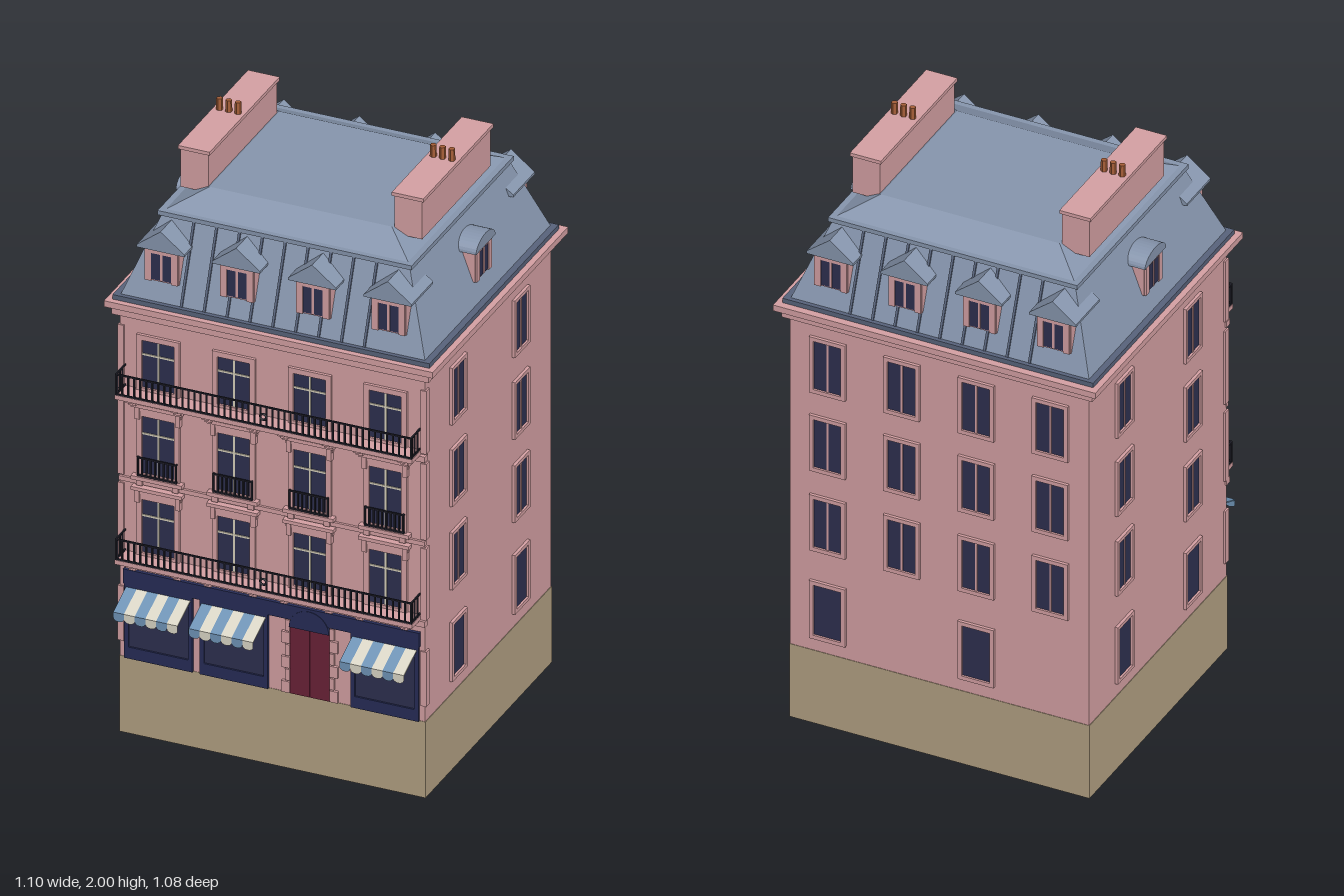
import * as THREE from 'three';
import { mergeGeometries } from 'three/addons/utils/BufferGeometryUtils.js';

const mat = (color, extra = {}) => new THREE.MeshStandardMaterial({ color, ...extra });
const PINK = mat(0xd6a1a4), SAND = mat(0xb3a183), SLATE = mat(0x8796ae, { flatShading: true });
const SEAM = mat(0x59647c), GLASS = mat(0x2e3050), NAVY = mat(0x272d58), CRIMSON = mat(0x6b2238);
const IRON = mat(0x1e1e28), CREAM = mat(0xd9d2bd), POT = mat(0xa65f38, { flatShading: true });
const BLUE_CLOTH = mat(0x7095b8, { side: THREE.DoubleSide });
const CREAM_CLOTH = mat(0xdcd8c8, { side: THREE.DoubleSide });

const FRONT = 0.435, CZ = -0.0325, HALF_X = 0.51, HALF_Z = 0.4675;
const COLUMNS = [-0.38, -0.127, 0.127, 0.38];

function add(parent, name, geometry, material) {
  const mesh = new THREE.Mesh(geometry, material);
  mesh.name = name;
  parent.add(mesh);
  return mesh;
}
function group(parent, name, x = 0, y = 0, z = 0, turn = 0) {
  const g = new THREE.Group();
  g.name = name;
  g.position.set(x, y, z);
  g.rotation.y = turn;
  parent.add(g);
  return g;
}
// One mesh from boxes given as [x0, x1, y0, y1, z0, z1]
function boxes(parent, name, material, list) {
  return add(parent, name, mergeGeometries(list.map(([a, b, c, d, e, f]) =>
    new THREE.BoxGeometry(b - a, d - c, f - e).translate((a + b) / 2, (c + d) / 2, (e + f) / 2))), material);
}
// Rectangular loft through rings [y, halfX, halfZ], closed at the top
function loft(rings) {
  const corner = ([y, x, z], i) => [[x, y, z], [x, y, -z], [-x, y, -z], [-x, y, z]][i % 4];
  const p = [];
  const quad = (a, b, c, d) => p.push(...a, ...b, ...c, ...a, ...c, ...d);
  for (let r = 0; r < rings.length - 1; r++)
    for (let i = 0; i < 4; i++)
      quad(corner(rings[r], i), corner(rings[r], i + 1), corner(rings[r + 1], i + 1), corner(rings[r + 1], i));
  const top = rings[rings.length - 1];
  quad(corner(top, 0), corner(top, 1), corner(top, 2), corner(top, 3));
  const g = new THREE.BufferGeometry();
  g.setAttribute('position', new THREE.Float32BufferAttribute(p, 3));
  g.computeVertexNormals();
  return g;
}

// Window on a wall whose plane is local z = 0
function windowUnit(wall, x, y0, y1, w, frame, { bars = true, transom = false } = {}) {
  const g = group(wall, 'window', x), h = w / 2, o = h + frame;
  boxes(g, 'windowGlass', GLASS, [[-h, h, y0, y1, -0.01, 0.003]]);
  boxes(g, 'windowFrame', PINK, [
    [-o, -h, y0 - frame, y1 + frame, -0.01, 0.01], [h, o, y0 - frame, y1 + frame, -0.01, 0.01],
    [-h, h, y1, y1 + frame, -0.01, 0.01], [-h, h, y0 - frame, y0, -0.01, 0.01]]);
  if (bars) {
    const list = [[-0.003, 0.003, y0, y1, 0, 0.006]];
    const t = y0 + (y1 - y0) * 0.68;
    if (transom) list.push([-h, h, t, t + 0.006, 0, 0.006]);
    boxes(g, 'glazingBars', transom ? CREAM : PINK, list);
  }
  return g;
}

// Iron railing around three sides of a balcony
function railing(parent, half, y0, y1, depth, step) {
  const t = 0.0025, list = [];
  for (const y of [y0 + 0.006, y1]) {
    list.push([-half, half, y - 0.005, y, depth - 2 * t, depth]);
    for (const s of [-half, half]) list.push([s - t, s + t, y - 0.005, y, 0, depth]);
  }
  const n = Math.round(2 * half / step);
  for (let i = 0; i <= n; i++) {
    const x = -half + 2 * half * i / n;
    list.push([x - t, x + t, y0, y1, depth - 2 * t, depth]);
  }
  for (const s of [-half, half])
    for (let z = step; z < depth - 0.01; z += step) list.push([s - t, s + t, y0, y1, z - t, z + t]);
  boxes(parent, 'railing', IRON, list);
}

function longBalcony(wall, y) {
  const g = group(wall, 'longBalcony');
  boxes(g, 'balconySlab', PINK, [[-0.497, 0.497, y - 0.015, y, 0, 0.07], [-0.515, 0.515, y - 0.035, y - 0.015, -0.01, 0.014]]);
  boxes(g, 'balconyBrackets', PINK, COLUMNS.flatMap(x => [-0.075, 0.075].flatMap(d => [
    [x + d - 0.012, x + d + 0.012, y - 0.028, y - 0.015, 0, 0.055],
    [x + d - 0.012, x + d + 0.012, y - 0.045, y - 0.028, 0, 0.035]])));
  railing(g, 0.493, y, y + 0.075, 0.07, 0.02);
  add(g, 'railingRosette', new THREE.TorusGeometry(0.01, 0.004, 6, 16).translate(0, y + 0.037, 0.07), IRON);
}

function awning(wall, x0) {
  const g = group(wall, 'awning', x0), w = 0.215 / 6;
  const slope = Math.hypot(0.095, 0.04);
  for (let i = 0; i < 6; i++) {
    const m = i % 2 ? CREAM_CLOTH : BLUE_CLOTH, cx = (i + 0.5) * w;
    const cloth = add(g, 'awningStripe', new THREE.BoxGeometry(w, 0.004, slope), m);
    cloth.position.set(cx, 0.492, 0.0575);
    cloth.rotation.x = Math.atan2(0.04, 0.095);
    const s = new THREE.Shape();
    s.moveTo(w / 2, 0.472);
    s.lineTo(-w / 2, 0.472);
    s.lineTo(-w / 2, 0.455);
    s.absellipse(0, 0.455, w / 2, 0.012, Math.PI, 2 * Math.PI, false);
    add(g, 'awningValance', new THREE.ShapeGeometry(s, 6).translate(cx, 0, 0.105), m);
  }
}

// Dormer facing local +z with its front at z = 0
function dormer(parent, name, x, z, turn, arched) {
  const g = group(parent, name, x, 0, z, turn);
  boxes(g, 'dormerBody', PINK, [[-0.0575, 0.0575, 1.585, 1.695, -0.12, 0]]);
  boxes(g, 'dormerFrame', PINK, [[-0.055, -0.034, 1.585, 1.69, 0, 0.006], [0.034, 0.055, 1.585, 1.69, 0, 0.006],
    [-0.055, 0.055, 1.682, 1.695, 0, 0.006], [-0.004, 0.004, 1.59, 1.682, 0, 0.005]]);
  boxes(g, 'dormerGlass', GLASS, [[-0.034, 0.034, 1.59, 1.682, -0.01, 0.003]]);
  const s = new THREE.Shape();
  if (arched) {
    s.moveTo(0.072, 1.69);
    s.absellipse(0, 1.69, 0.072, 0.042, 0, Math.PI, false);
  } else {
    s.moveTo(-0.08, 1.695);
    s.lineTo(0.08, 1.695);
    s.lineTo(0.08, 1.703);
    s.lineTo(0, 1.765);
    s.lineTo(-0.08, 1.703);
  }
  s.closePath();
  add(g, 'dormerRoof', new THREE.ExtrudeGeometry(s, { depth: 0.16, bevelEnabled: false, curveSegments: 8 })
    .translate(0, 0, -0.15), SLATE);
}

function buildFront(model) {
  const wall = group(model, 'frontFacade', 0, 0, FRONT);
  const floors = [[0.645, 0.83], [0.92, 1.12], [1.22, 1.385]];
  floors.forEach(([y0, y1], f) => COLUMNS.forEach(x => {
    const w = windowUnit(wall, x, y0, y1, 0.108, 0.018, { transom: true });
    if (f === 2) return;
    // Lintel cornice on two consoles
    boxes(w, 'windowLintel', PINK, [[-0.085, 0.085, y1 + 0.033, y1 + 0.045, 0, 0.022],
      [-0.078, 0.078, y1 + 0.018, y1 + 0.033, 0, 0.012],
      [-0.076, -0.06, y1 - 0.01, y1 + 0.033, 0, 0.016], [0.06, 0.076, y1 - 0.01, y1 + 0.033, 0, 0.016]]);
    if (f === 1) {
      boxes(w, 'windowSill', PINK, [[-0.085, 0.085, 0.9, 0.913, 0, 0.022],
        [-0.07, -0.05, 0.88, 0.9, 0, 0.016], [0.05, 0.07, 0.88, 0.9, 0, 0.016]]);
      railing(w, 0.064, 0.913, 0.98, 0.018, 0.014);
    }
  }));
  longBalcony(wall, 0.635);
  longBalcony(wall, 1.21);
  boxes(wall, 'stringCourse', PINK, [[-0.512, 0.512, 0.88, 0.895, -0.005, 0.008]]);
  // Shop fronts under a common fascia
  boxes(wall, 'shopFascia', NAVY, [[-0.495, 0.495, 0.525, 0.575, 0, 0.012]]);
  for (const [a, b] of [[-0.492, -0.265], [-0.24, -0.012], [0.265, 0.492]]) {
    boxes(wall, 'shopFrame', NAVY, [[a, a + 0.014, 0.265, 0.525, 0, 0.01], [b - 0.014, b, 0.265, 0.525, 0, 0.01],
      [a, b, 0.265, 0.305, 0, 0.01], [a, b, 0.51, 0.525, 0, 0.01]]);
    boxes(wall, 'shopGlass', GLASS, [[a + 0.01, b - 0.01, 0.3, 0.515, 0, 0.004]]);
    awning(wall, (a + b) / 2 - 0.1075);
  }
  // Street door with arched fanlight and rusticated jambs
  const door = group(wall, 'entrance', 0.127);
  boxes(door, 'doorLeaves', CRIMSON, [[-0.066, -0.001, 0.265, 0.505, 0, 0.006], [0.001, 0.066, 0.265, 0.505, 0, 0.006]]);
  add(door, 'doorFanlight', new THREE.CylinderGeometry(0.067, 0.067, 0.012, 20, 1, false, Math.PI / 2, Math.PI)
    .rotateX(Math.PI / 2).translate(0, 0.5, 0.008), NAVY);
  const blocks = [];
  for (let i = 0; i < 6; i++) for (const s of [-1, 1]) {
    const outer = s * (i % 2 ? 0.082 : 0.094), inner = s * 0.067, y = 0.267 + i * 0.043;
    blocks.push([Math.min(inner, outer), Math.max(inner, outer), y, y + 0.039, 0, 0.01]);
  }
  boxes(door, 'doorJambs', PINK, blocks);
  // Corner pilasters
  for (const s of [-1, 1])
    boxes(wall, 'cornerPilaster', PINK, [[0.32, 0.51], [0.62, 0.87], [0.9, 1.165], [1.2, 1.42]]
      .map(([y0, y1]) => [s * 0.506 - 0.01, s * 0.506 + 0.01, y0, y1, -0.02, 0.005]));
}

function buildPlainWalls(model) {
  const rows = [[0.645, 0.82], [0.935, 1.11], [1.22, 1.395]];
  for (const s of [-1, 1]) {
    const wall = group(model, 'sideWall', s * HALF_X, 0, 0, s * Math.PI / 2);
    for (const z of [0.197, -0.267]) {
      rows.forEach(([a, b]) => windowUnit(wall, -s * z, a, b, 0.088, 0.012));
      windowUnit(wall, -s * z, 0.325, 0.507, 0.088, 0.012, { bars: false });
    }
  }
  const back = group(model, 'backWall', 0, 0, CZ - HALF_Z, Math.PI);
  COLUMNS.forEach((x, i) => {
    rows.forEach(([a, b]) => windowUnit(back, x, a, b, 0.095, 0.014));
    if (i % 2 === 0) windowUnit(back, x, 0.325, 0.507, 0.095, 0.014, { bars: false });
  });
}

function buildRoof(model) {
  const roof = group(model, 'roof', 0, 0, CZ);
  boxes(roof, 'cornice', PINK, [[-0.53, 0.53, 1.46, 1.487, -0.487, 0.487], [-0.55, 0.55, 1.487, 1.508, -0.505, 0.5]]);
  boxes(roof, 'gutter', SEAM, [[-0.53, 0.53, 1.508, 1.524, -0.48, 0.48]]);
  add(roof, 'mansard', loft([[1.52, 0.51, 0.467], [1.775, 0.415, 0.37]]), SLATE);
  boxes(roof, 'roofCurb', SLATE, [[-0.425, 0.425, 1.775, 1.79, -0.379, 0.379]]);
  add(roof, 'upperRoof', loft([[1.79, 0.405, 0.36], [1.84, 0.305, 0.26]]), SLATE);
  const lean = Math.atan2(0.097, 0.255);
  for (const turn of [0, Math.PI]) {
    const side = group(roof, 'roofSide', 0, 0, 0, turn);
    COLUMNS.forEach(x => dormer(side, 'gableDormer', x, 0.4475, 0, false));
    for (let i = -4; i <= 4; i++) {
      const rib = add(side, 'roofSeam', new THREE.BoxGeometry(0.008, 0.265, 0.01), SEAM);
      rib.position.set(i * 0.0765, 1.648, 0.4185);
      rib.rotation.x = -lean;
    }
  }
  for (const s of [-1, 1]) {
    dormer(roof, 'archedDormer', s * 0.492, 0, s * Math.PI / 2, true);
    const stack = group(roof, 'chimney', s * 0.3575);
    boxes(stack, 'chimneyStack', PINK, [[-0.0465, 0.0465, 1.815, 1.95, -0.254, 0.254], [-0.053, 0.053, 1.948, 1.96, -0.26, 0.26]]);
    for (const x of [-0.031, 0, 0.031])
      add(stack, 'chimneyPot', new THREE.CylinderGeometry(0.01, 0.011, 0.045, 6).translate(x, 1.9775, 0), POT);
  }
}

export function createModel() {
  const model = new THREE.Group();
  model.name = 'townHouse';
  boxes(model, 'groundBlock', SAND, [[-0.512, 0.512, 0, 0.265, CZ - 0.469, CZ + 0.469]]);
  boxes(model, 'walls', PINK, [[-HALF_X, HALF_X, 0.265, 1.47, CZ - HALF_Z, CZ + HALF_Z]]);
  buildFront(model);
  buildPlainWalls(model);
  buildRoof(model);
  return model;
}
